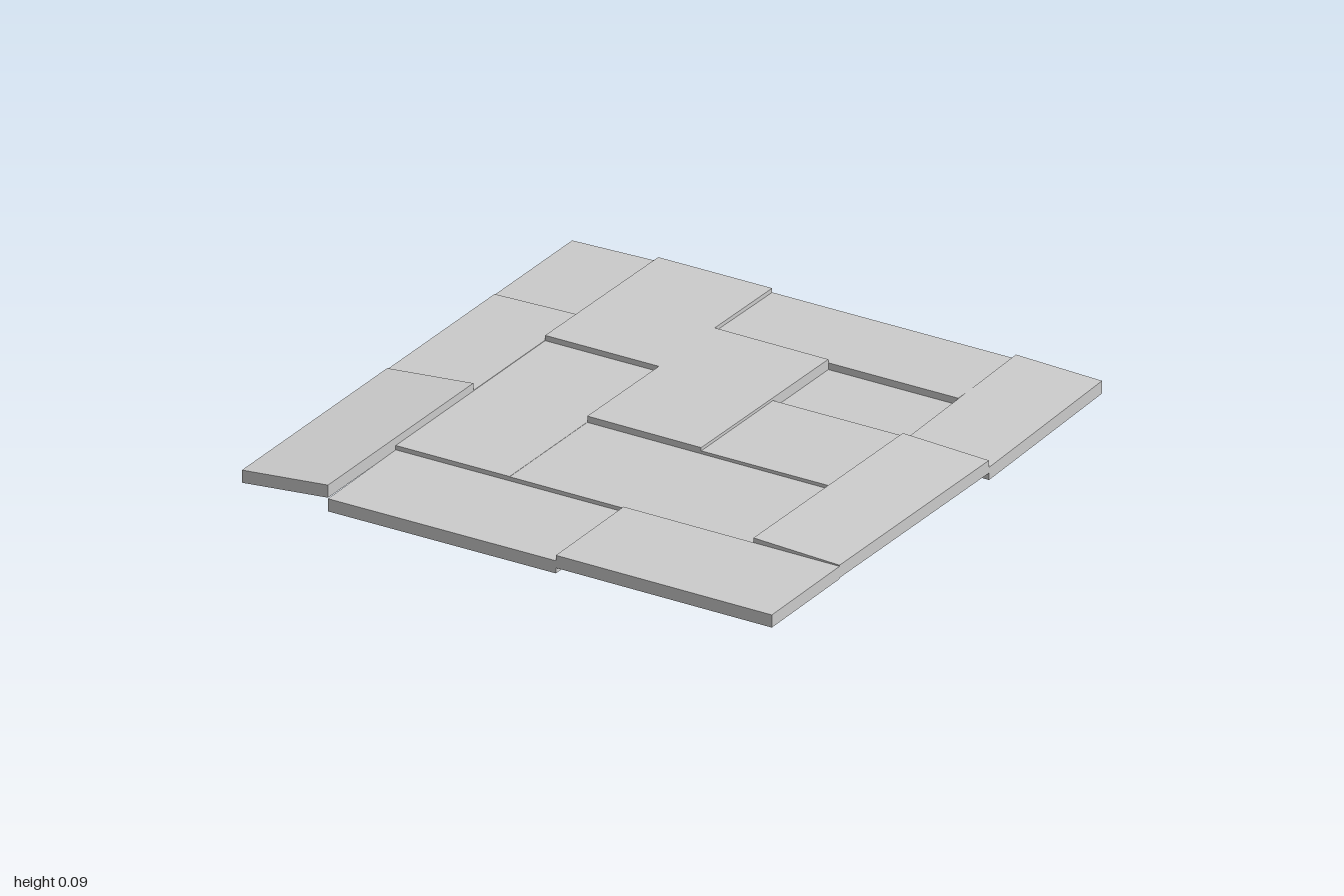
import * as THREE from 'three';

const THICKNESS = 0.045;

// x0, x1, z0, z1, then the top height at the -x, +x edges and the extra rise from the back to the front edge
const SLABS = {
  frontLeftCornerSlab: [0.185, 1, 0.59, 1, 0.067, 0.064, -0.004],
  frontMiddleSlab: [-0.675, 0.185, 0.59, 1, 0.048, 0.048, -0.005],
  frontRightCornerSlab: [-1, -0.675, 0.12, 1, 0.064, 0.094, 0],
  rightMiddleSlab: [-1, -0.675, -0.53, 0.12, 0.06, 0.068, 0],
  backRightCornerSlab: [-1, -0.675, -1, -0.53, 0.057, 0.066, 0],
  innerRightSlab: [-0.675, -0.245, -0.315, 0.59, 0.066, 0.066, 0],
  backRightSlab: [-0.675, -0.245, -1, -0.315, 0.083, 0.083, 0.004],
  centreSlab: [-0.245, 0.185, -0.65, 0.12, 0.086, 0.084, 0.003],
  innerFrontSlab: [-0.245, 0.675, 0.12, 0.59, 0.065, 0.062, 0],
  innerLeftSlab: [0.185, 0.675, -0.315, 0.12, 0.074, 0.074, 0],
  sunkenSlab: [0.185, 0.675, -0.65, -0.315, 0.046, 0.046, 0],
  backMiddleSlab: [-0.245, 0.675, -1, -0.65, 0.068, 0.068, 0.004],
  leftMiddleSlab: [0.675, 1, -0.315, 0.59, 0.084, 0.07, 0],
  backLeftCornerSlab: [0.675, 1, -1, -0.315, 0.068, 0.058, -0.026],
};

// A flat slab whose top and bottom follow one tilted plane
function makeSlab(name, [x0, x1, z0, z1, yLeft, yRight, rise]) {
  const geometry = new THREE.BoxGeometry(x1 - x0, THICKNESS, z1 - z0);
  geometry.translate((x0 + x1) / 2, -THICKNESS / 2, (z0 + z1) / 2);
  const p = geometry.attributes.position;
  for (let i = 0; i < p.count; i++) {
    const u = (p.getX(i) - x0) / (x1 - x0);
    const v = (p.getZ(i) - z0) / (z1 - z0);
    p.setY(i, p.getY(i) + yLeft + (yRight - yLeft) * u + rise * (v - 0.5));
  }
  geometry.computeVertexNormals();
  const mesh = new THREE.Mesh(geometry, new THREE.MeshStandardMaterial({ color: 0xcccccc, flatShading: true }));
  mesh.name = name;
  return mesh;
}

export function createModel() {
  const model = new THREE.Group();
  model.name = 'pavingSlabs';
  for (const [name, spec] of Object.entries(SLABS)) model.add(makeSlab(name, spec));
  // Rest the lowest corner on the ground
  const lowest = new THREE.Box3().setFromObject(model).min.y;
  for (const slab of model.children) slab.geometry.translate(0, -lowest, 0);
  return model;
}
